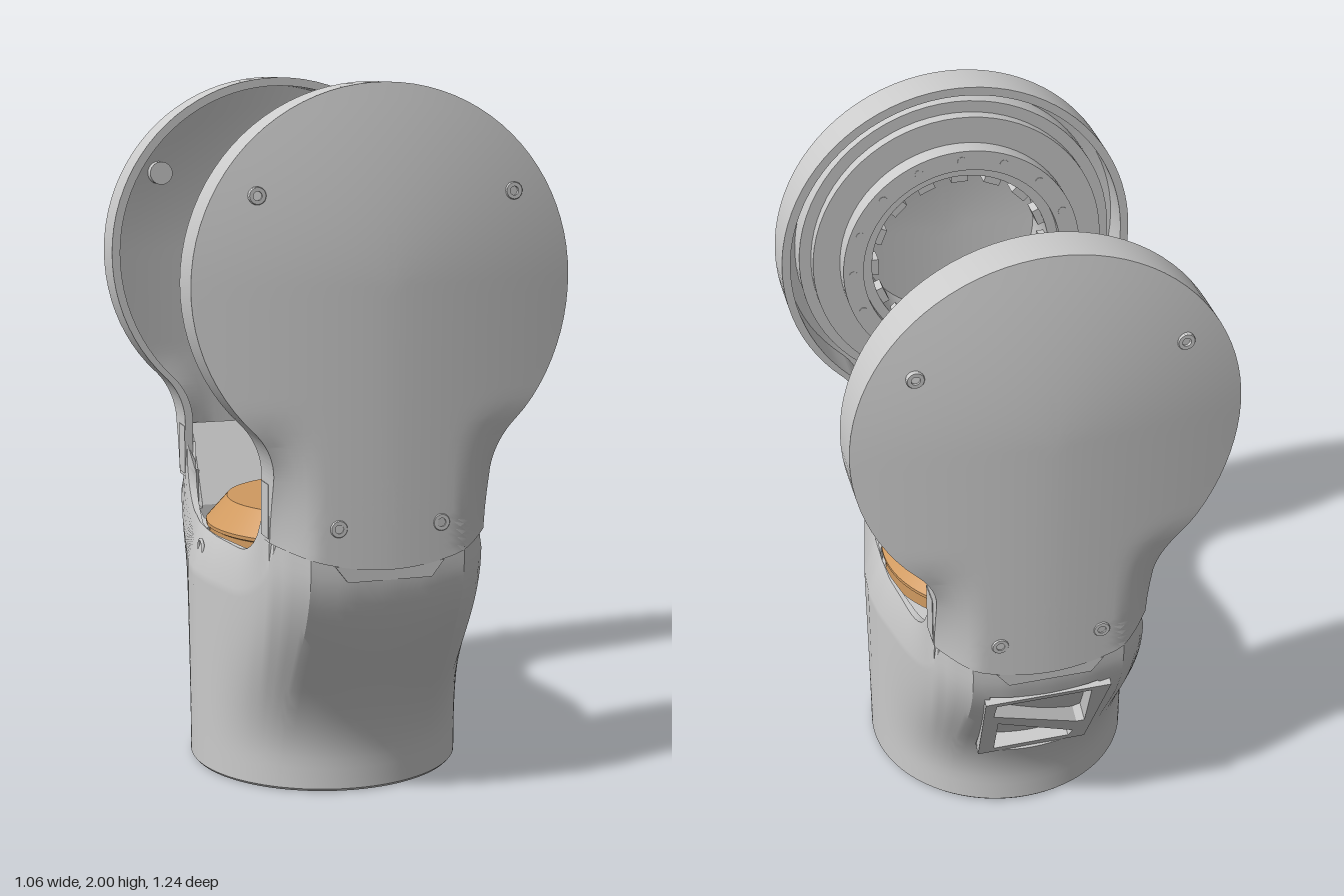
import * as THREE from 'three';
import { toCreasedNormals } from 'three/addons/utils/BufferGeometryUtils.js';

const grey = new THREE.MeshStandardMaterial({ color: 0xcccccc, side: THREE.DoubleSide });
const orange = new THREE.MeshStandardMaterial({ color: 0xd09a60, side: THREE.DoubleSide });
const CY = 1.468, R = 0.532; // centre and radius of the round plates
const { lerp, smoothstep, clamp } = THREE.MathUtils;

function add(parent, name, geo, mat = grey) {
  const m = new THREE.Mesh(geo, mat);
  m.name = name;
  parent.add(m);
  return m;
}

// Skin a closed ring of columns, each a list of [x, y, z]
function skin(cols, closeColumn) {
  const n = cols.length, h = cols[0].length, index = [];
  for (let j = 0; j < n; j++) {
    const j2 = (j + 1) % n;
    for (let k = 0; k < (closeColumn ? h : h - 1); k++) {
      const k2 = (k + 1) % h;
      const a = j * h + k, b = j * h + k2, c = j2 * h + k2, d = j2 * h + k;
      index.push(a, b, c, a, c, d);
    }
  }
  const g = new THREE.BufferGeometry();
  g.setAttribute('position', new THREE.Float32BufferAttribute(cols.flat(2), 3));
  g.setIndex(index);
  return toCreasedNormals(g, 0.45);
}

function lathe(points, segments = 72) {
  const v = points.map(p => new THREE.Vector2(p[0], p[1]));
  return toCreasedNormals(new THREE.LatheGeometry(v, segments), 0.45);
}

const polygon = pts => new THREE.Shape(pts.map(p => new THREE.Vector2(p[0], p[1])));

// One quarter of the flared section: [circle angle in degrees, x, z]
const quarter = [
  [0, 0.397, 0], [8, 0.388, 0.1], [18, 0.366, 0.2], [28, 0.342, 0.32], [38, 0.324, 0.43],
  [46, 0.309, 0.5], [51, 0.272, 0.55], [56, 0.22, 0.597], [73, 0.12, 0.609], [90, 0, 0.612],
];

// Rounded rise of the U-cut: flat to z = 0.25, then a quarter ellipse
function saddle(z, bottom, width, height) {
  const d = clamp((Math.abs(z) - 0.25) / width, 0, 1);
  return bottom + height * (1 - Math.sqrt(1 - d * d));
}

// Hollow body: round at the foot, flared to the front and back, U-cut on top
function bodyGeometry() {
  const cols = [], S = 4, Q = 9 * S;
  for (let j = 0; j < 4 * Q; j++) {
    const m = j % (2 * Q), k = m <= Q ? m : 2 * Q - m;
    const sx = j > Q && j < 3 * Q ? -1 : 1, sz = j < 2 * Q ? 1 : -1;
    const i = Math.min(Math.floor(k / S), 8), f = k / S - i;
    const [deg, ux, uz] = quarter[i].map((v, c) => lerp(v, quarter[i + 1][c], f));
    const a = deg * Math.PI / 180, ca = Math.cos(a), sa = Math.sin(a);
    const ix = ux * 0.885, iz = uz * 0.9;
    const rx = ux * lerp(0.885, 0.95, Math.min(uz / 0.43, 1)), rz = uz * 0.97; // upper edge of the chamfer
    const seam = 0.72 + 0.07 * (ux / 0.31) ** 2;
    const onArm = uz > 0.49;
    const yRim = onArm ? seam : saddle(rz, 0.7, 0.18, 0.18);
    const yIn = onArm ? seam : saddle(iz, 0.7, 0.18, 0.18);
    const yOut = Math.min(saddle(uz, 0.59, 0.27, 0.2), seam);
    const col = [[0.39 * ca, 0, 0.39 * sa]];
    for (let v = 0; v <= 24; v++) {
      const y = lerp(0.008, yOut, v / 24);
      const x = lerp(0.397 * ca, ux, smoothstep(y, 0.1, 0.74));
      let z = lerp(0.397 * sa, uz, smoothstep(y, 0.08, 0.7));
      if (sz < 0 && x < 0.15 && y > 0.26 && y < 0.59) z -= 0.05; // bed of the back windows
      col.push([x, y, z]);
    }
    col.push([rx, yRim, rz], [ix, yIn, iz], [ix, 0.6, iz]);
    for (const [r, y] of [[0.33, 0.6], [0.26, 0.55], [0.26, 0.04], [0.365, 0.04], [0.37, 0]]) {
      col.push([r * ca, y, r * sa]);
    }
    cols.push(col.map(p => [p[0] * sx, p[1], p[2] * sz]));
  }
  return skin(cols, true);
}

// Gently domed outside of the plates, its corners falling away towards the neck's lower end
function dome(x, y) {
  const round = 0.066 * (Math.hypot(x, Math.max(0, y - CY)) / R) ** 1.7;
  const corner = 0.085 * clamp((Math.abs(x) - 0.2) / 0.11, 0, 1) ** 1.5;
  return 0.62 - round - corner * (1 - smoothstep(y, 0.74, 1.15));
}

// Keyhole-shaped hollow plate of even wall thickness
function plateGeometry() {
  const s = new THREE.Shape();
  s.moveTo(0.31, 0.77).lineTo(0.31, 0.83).lineTo(0.31, 0.885).lineTo(0.31, 0.943);
  s.absarc(0.51, 0.943, 0.2, Math.PI, Math.PI - 0.8, true);
  s.absarc(0, CY, R, -0.8, Math.PI + 0.8, false);
  s.absarc(-0.51, 0.943, 0.2, 0.8, 0, true);
  s.lineTo(-0.31, 0.885).lineTo(-0.31, 0.83).lineTo(-0.31, 0.77).quadraticCurveTo(0, 0.63, 0.31, 0.77);
  const pts = s.getPoints(32);
  if (pts[0].distanceTo(pts[pts.length - 1]) < 1e-4) pts.pop();
  const cols = pts.map(p => {
    const qy = clamp(p.y, 0.95, CY);
    const at = f => [p.x * f, lerp(qy, p.y, f)];
    const f = 1 - 0.025 / Math.hypot(p.x, p.y - qy);
    const rim = p.y < 0.768 ? dome(p.x, p.y) - 0.06 : 0.432; // open at the bottom, where the body joins
    const col = [];
    for (let k = 0; k <= 12; k++) {
      const [x, y] = at(k / 12);
      col.push([x, y, dome(x, y)]);
    }
    col.push([p.x, p.y, rim], [...at(f), rim]);
    for (let k = 8; k >= 0; k--) {
      const [x, y] = at(f * k / 8);
      col.push([x, y, dome(x, y) - 0.028]);
    }
    return col;
  });
  return skin(cols, false);
}

// Deck around the cap with four corner pockets
function deckGeometry() {
  const half = [[0.355, 0], [0.33, 0.2], [0.295, 0.4], [0.27, 0.48], [0.21, 0.54]];
  const right = [...half.slice(1).reverse().map(([x, z]) => [x, -z]), ...half];
  const s = polygon([...right, ...right.slice().reverse().map(([x, z]) => [-x, z])]);
  s.holes.push(new THREE.Path().absarc(0, 0, 0.347, 0, Math.PI * 2, true));
  const front = [[0.29, 0.28], [0.28, 0.36], [0.17, 0.36], [0.19, 0.335], [0.25, 0.275]];
  const back = [[0.03, -0.385], [0.03, -0.42], [0.27, -0.42], [0.29, -0.28], [0.26, -0.27], [0.16, -0.36]];
  for (const pocket of [front, back]) for (const sx of [1, -1]) {
    s.holes.push(polygon(pocket.map(([x, z]) => [x * sx, z])));
  }
  return new THREE.ExtrudeGeometry(s, { depth: 0.06, bevelEnabled: false, curveSegments: 48 })
    .rotateX(Math.PI / 2).translate(0, 0.67, 0);
}

// Flat back panel with two triangular windows
function windowPanel() {
  const up = ([x, y]) => [x, (y - 0.425) * 1.118];
  const s = polygon([[-0.165, 0.25], [0.165, 0.25], [0.185, 0.6], [-0.185, 0.6]].map(up));
  s.holes.push(polygon([[-0.15, 0.58], [0.13, 0.58], [0.145, 0.37], [0.12, 0.37], [-0.15, 0.51]].map(up)));
  s.holes.push(polygon([[-0.13, 0.455], [0.12, 0.305], [0.11, 0.275], [-0.12, 0.275]].map(up)));
  return new THREE.ExtrudeGeometry(s, { depth: 0.06, bevelEnabled: false })
    .translate(0, 0, -0.057).rotateY(Math.PI).rotateX(-0.464).translate(0, 0.425, -0.5125);
}

export function createModel() {
  const model = new THREE.Group();
  add(model, 'body', bodyGeometry());
  add(model, 'deck', deckGeometry());
  add(model, 'windowPanel', windowPanel());
  add(model, 'cap', lathe([[0, 0.64], [0.335, 0.64], [0.335, 0.7], [0.345, 0.705],
    [0.345, 0.715], [0.283, 0.785], [0, 0.785]]), orange);

  // Bolts in the foot flange
  for (let i = 0; i < 14; i++) {
    const a = i / 14 * Math.PI * 2;
    add(model, 'flangeBolt', new THREE.CylinderGeometry(0.012, 0.012, 0.02, 12))
      .position.set(0.315 * Math.cos(a), 0.047, 0.315 * Math.sin(a));
  }

  // Cable hole in the right side of the saddle
  const hole = add(model, 'sideHole', new THREE.TorusGeometry(0.025, 0.005, 8, 24));
  hole.position.set(-0.372, 0.645, 0);
  hole.rotation.set(0, Math.PI / 2, 0.39);

  // Front and back arms
  const plate = plateGeometry();
  const screw = lathe([[0, -0.005], [0.012, -0.005], [0.012, 0.008], [0.022, 0.008], [0.024, 0.005], [0.024, -0.03]], 20)
    .rotateX(Math.PI / 2);
  const gusset = new THREE.ExtrudeGeometry(polygon([[0.42, 0.64], [0.5, 0.64], [0.55, 0.8], [0.55, 0.92], [0.42, 0.68]]),
    { depth: 0.52, bevelEnabled: false }).rotateY(-Math.PI / 2).translate(0.26, 0, 0);
  const lip = new THREE.ExtrudeGeometry(polygon([[-0.12, 0.67], [0.12, 0.67], [0.155, 0.715], [-0.155, 0.715]]),
    { depth: 0.034, bevelEnabled: false }).translate(0, 0, 0.579);
  const boss = new THREE.CylinderGeometry(0.035, 0.035, 0.06, 24).rotateX(Math.PI / 2);
  for (const side of ['front', 'back']) {
    const arm = new THREE.Group();
    arm.name = side + 'Arm';
    if (side === 'back') arm.rotation.y = Math.PI;
    model.add(arm);
    add(arm, 'armPlate', plate);
    add(arm, 'armGusset', gusset);
    add(arm, 'seamLip', lip);
    for (const sx of [1, -1]) {
      add(arm, 'screw', screw).position.set(0.358 * sx, 1.71, dome(0.358, 1.71));
      add(arm, 'lowerScrew', screw).position.set(0.146 * sx, 0.82, dome(0.146, 0.82) - 0.004);
      add(arm, 'sideTab', new THREE.BoxGeometry(0.02, 0.15, 0.07)).position.set(0.302 * sx, 0.855, 0.468);
      if (side === 'back') add(arm, 'screwBoss', boss).position.set(0.358 * sx, 1.71, 0.535);
    }
  }

  // Bearing ring on the inside of the front arm
  const ring = new THREE.Group();
  ring.name = 'bearingRing';
  ring.position.y = CY;
  model.add(ring);
  add(ring, 'ringBody', lathe([[0.27, 0.58], [0.27, 0.4], [0.3, 0.4], [0.3, 0.375], [0.36, 0.375], [0.36, 0.43],
    [0.44, 0.43], [0.44, 0.465], [0.475, 0.465], [0.475, 0.545]]).rotateX(Math.PI / 2));
  for (let i = 0; i < 16; i++) {
    const a = i / 16 * Math.PI * 2;
    const tooth = add(ring, 'ringTooth', new THREE.BoxGeometry(0.03, 0.05, 0.05));
    tooth.position.set(0.263 * Math.cos(a), 0.263 * Math.sin(a), 0.43);
    tooth.rotation.z = a;
    add(ring, 'ringBolt', new THREE.CylinderGeometry(0.013, 0.013, 0.01, 12).rotateX(Math.PI / 2))
      .position.set(0.33 * Math.cos(a), 0.33 * Math.sin(a), 0.3785);
  }
  return model;
}
